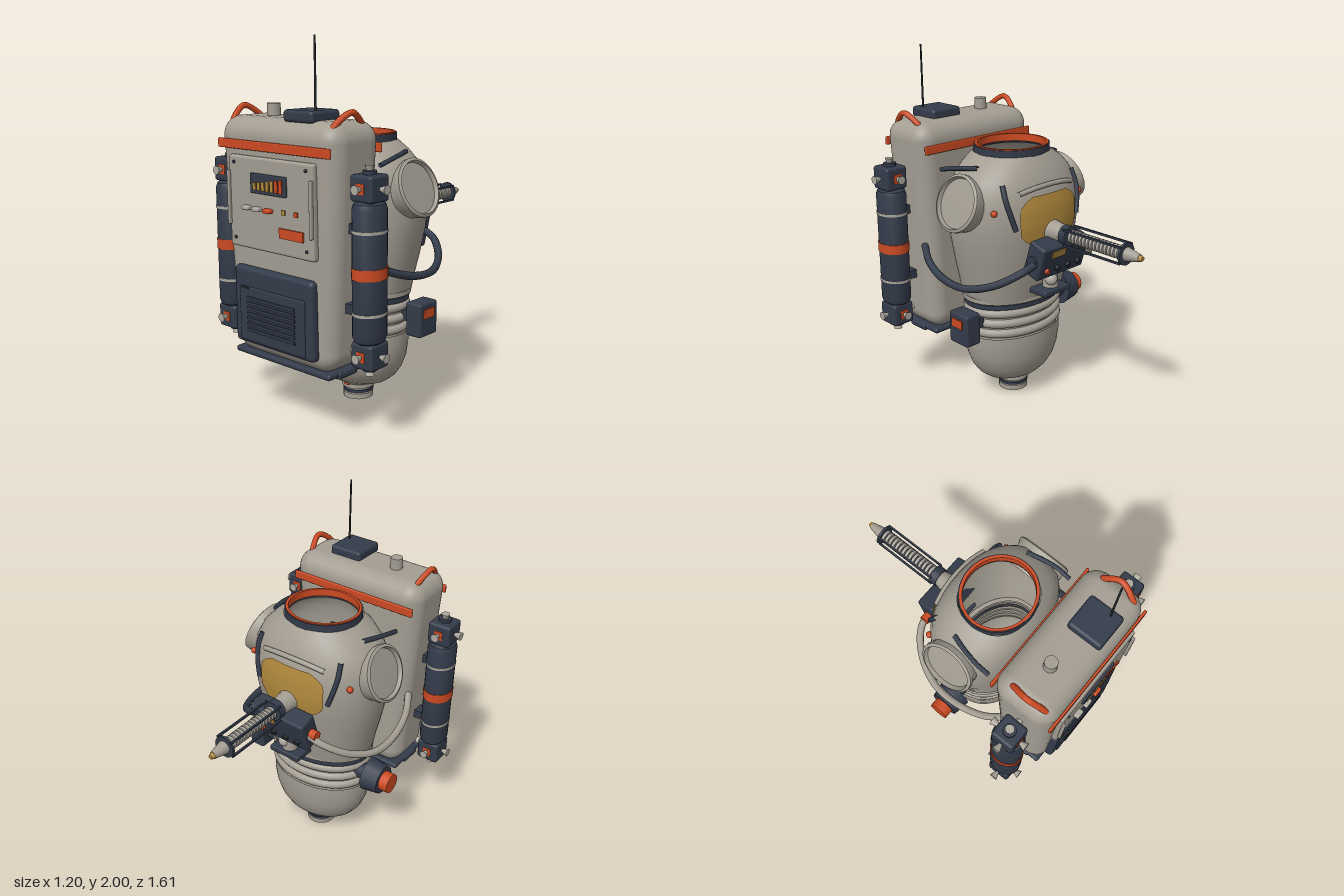
import * as THREE from 'three';
import { toCreasedNormals } from 'three/addons/utils/BufferGeometryUtils.js';
import { RoundedBoxGeometry } from 'three/addons/geometries/RoundedBoxGeometry.js';

const mat = (name, color) => new THREE.MeshStandardMaterial({ name, color, side: THREE.DoubleSide });
const V = (x, y, z) => new THREE.Vector3(x, y, z);

export function createModel() {
  const root = new THREE.Group();
  const grey = mat('warm grey', 0xa39d92), navy = mat('navy', 0x333b4a), orange = mat('orange', 0xcc4a22);
  const gold = mat('gold', 0xb0883c), black = mat('black', 0x22262d), pale = mat('pale metal', 0xaeaaa0);

  const add = (name, geo, m, x = 0, y = 0, z = 0, parent = root) => {
    const mesh = new THREE.Mesh(geo, m);
    mesh.name = name;
    mesh.position.set(x, y, z);
    parent.add(mesh);
    return mesh;
  };
  const box = (name, m, w, h, d, x, y, z, p) => add(name, new THREE.BoxGeometry(w, h, d), m, x, y, z, p);
  const rbox = (name, m, w, h, d, r, x, y, z, p) => add(name, new RoundedBoxGeometry(w, h, d, 3, r), m, x, y, z, p);
  const cyl = (name, m, r0, r1, h, x, y, z, p, n = 20) => add(name, new THREE.CylinderGeometry(r1, r0, h, n), m, x, y, z, p);
  const tube = (name, m, r, pts, n = 32) =>
    add(name, new THREE.TubeGeometry(new THREE.CatmullRomCurve3(pts), n, r, 8), m);
  const lathe = (name, m, pts, p = root, n = 24) =>
    add(name, toCreasedNormals(new THREE.LatheGeometry(pts.map(q => new THREE.Vector2(...q)), n), 0.6), m, 0, 0, 0, p);

  // Grid surface from a rule f(u, row)
  const grid = (f, nu, rows, wrap) => {
    const pos = [], idx = [], w = wrap ? nu : nu + 1;
    for (let j = 0; j < rows; j++) for (let i = 0; i < w; i++) pos.push(...f(i / nu, j).toArray());
    for (let j = 0; j < rows - 1; j++) for (let i = 0; i < nu; i++) {
      const a = j * w + i, b = j * w + (i + 1) % w;
      idx.push(a, a + w, b, b, a + w, b + w);
    }
    const g = new THREE.BufferGeometry();
    g.setAttribute('position', new THREE.Float32BufferAttribute(pos, 3));
    g.setIndex(idx);
    return toCreasedNormals(g, 0.6);
  };
  // Rounded oval point; angle 0 looks to -z and +90 degrees to +x
  const CZ = 0.125;
  const oval = (a, [y, rx, rf, rb = rf], off = 0, e = 0.9) => {
    const s = Math.sin(a), c = Math.cos(a), k = v => Math.sign(v) * Math.abs(v) ** e;
    return V((rx + off) * k(s), y, CZ - ((c > 0 ? rf : rb) + off) * k(c));
  };
  const loft = (name, m, rows, e) =>
    add(name, grid((u, j) => oval(u * Math.PI * 2, rows[j], 0, e), 40, rows.length, true), m);
  const band = (name, m, y0, y1, rx, rz, t = 0.025) =>
    loft(name, m, [[y0, rx - t, rz - t], [y0, rx, rz], [y1, rx, rz], [y1, rx - t, rz - t]], 1);

  // Torso shell
  const torso = [[0.64, 0.315, 0.235], [0.75, 0.335, 0.26, 0.24], [0.85, 0.36, 0.28, 0.245], [1.0, 0.39, 0.305, 0.253],
    [1.1, 0.4, 0.315, 0.257], [1.2, 0.4, 0.31, 0.257], [1.28, 0.385, 0.293, 0.252], [1.35, 0.35, 0.267, 0.243],
    [1.41, 0.29, 0.235, 0.23], [1.46, 0.215, 0.2]];
  loft('torsoShell', grey, torso);
  const skin = (a, y, off) => {
    let i = 0;
    while (i < torso.length - 2 && torso[i + 1][0] < y) i++;
    const p = torso[i], q = torso[i + 1], t = (y - p[0]) / (q[0] - p[0]);
    const full = r => [r[0], r[1], r[2], r[3] ?? r[2]];
    return oval(a, full(p).map((v, k) => v + (full(q)[k] - v) * t), off);
  };

  // Neck collar
  band('neckCollar', navy, 1.45, 1.497, 0.217, 0.203, 0.02);
  loft('neckSeal', orange, [[1.46, 0.196, 0.182], [1.502, 0.196, 0.182], [1.502, 0.211, 0.197], [1.49, 0.211, 0.197]], 1);

  // Waist rings, bellows and lower bowl
  band('waistRing', grey, 0.64, 0.665, 0.325, 0.243);
  band('waistSeal', navy, 0.605, 0.632, 0.315, 0.232);
  loft('waistCore', grey, [[0.4, 0.295, 0.215], [0.66, 0.295, 0.215]], 1);
  for (const y of [0.575, 0.515, 0.455]) {
    const rows = [];
    for (let i = 0; i <= 8; i++) {
      const a = -Math.PI / 2 + i * Math.PI / 8;
      rows.push([y + 0.026 * Math.sin(a), 0.29 + 0.028 * Math.cos(a), 0.21 + 0.028 * Math.cos(a)]);
    }
    loft('bellowsRing', grey, rows, 1);
  }
  loft('lowerBowl', grey, [[0.085, 0.085, 0.085], [0.1, 0.13, 0.105], [0.125, 0.19, 0.145], [0.16, 0.235, 0.178], [0.21, 0.272, 0.205],
    [0.28, 0.3, 0.222], [0.36, 0.311, 0.231], [0.425, 0.311, 0.231]], 1);

  // Bottom connector
  const nozzle = new THREE.Group();
  nozzle.name = 'bottomConnector';
  nozzle.position.z = CZ;
  root.add(nozzle);
  lathe('connectorBody', grey, [[0.065, 0.1], [0.065, 0], [0.085, 0], [0.085, 0.03], [0.078, 0.035], [0.078, 0.06], [0.092, 0.065], [0.092, 0.09]], nozzle);
  cyl('connectorSeal', navy, 0.086, 0.086, 0.015, 0, 0.045, 0, nozzle, 24);
  box('connectorTab', orange, 0.03, 0.015, 0.02, 0, 0.092, 0.09, nozzle);

  // Shoulder sockets, shoulder strips and chest strips
  for (const s of [1, -1]) {
    const g = new THREE.Group();
    g.name = 'shoulderSocket';
    g.position.set(s * 0.398, 1.23, 0.115);
    g.rotation.z = -s * 1.22;
    root.add(g);
    lathe('socketRim', grey, [[0.14, -0.13], [0.15, -0.02], [0.158, 0], [0.158, 0.02], [0.142, 0.028], [0.135, 0.005], [0, 0.008]], g, 36);
    tube('shoulderStrip', navy, 0.013, [V(s * 0.335, 1.365, 0.33), V(s * 0.335, 1.385, 0.25), V(s * 0.32, 1.4, 0.16), V(s * 0.295, 1.41, 0.075)]);
    const strip = [0, 1, 2, 3].map(i => skin(s * (0.78 - i * 0.07), 1.34 - i * 0.08, 0.006));
    tube('chestStrip', navy, 0.014, strip);
    const dot = skin(s * 0.9, 1.2, 0.006);
    add('chestIndicator', new THREE.SphereGeometry(0.018, 12, 8), orange, dot.x, dot.y, dot.z);
  }

  // Gold chest window with brow
  add('chestWindow', grid((u, j) => {
    const y = 1.0 + j * 0.027, half = 0.5 * Math.min(1, Math.sqrt(1 - ((j - 5) / 5.6) ** 2) + 0.12);
    return skin((u - 0.5) * 2 * half, y, 0.008);
  }, 16, 11, false), gold);
  tube('windowBrow', grey, 0.014, [-2, -1, 0, 1, 2].map(i => skin(i * 0.25, 1.315 - 0.006 * i * i, 0.006)));

  // Chest control box
  const ctrl = new THREE.Group();
  ctrl.name = 'controlBox';
  ctrl.position.set(0, 0.935, -0.225);
  ctrl.rotation.x = -0.3;
  root.add(ctrl);
  rbox('controlCase', navy, 0.36, 0.2, 0.115, 0.015, 0, 0, 0, ctrl);
  box('controlScreen', gold, 0.1, 0.04, 0.008, 0.06, 0.055, -0.06, ctrl);
  for (let i = 0; i < 4; i++)
    cyl('controlButton', i === 3 ? orange : black, 0.018, 0.016, 0.02, -0.12 + i * 0.08, -0.045, -0.062, ctrl, 12).rotation.x = -Math.PI / 2;
  cyl('sideKnob', orange, 0.028, 0.028, 0.045, -0.2, 0.0, 0, ctrl, 16).rotation.z = Math.PI / 2;
  cyl('sidePort', navy, 0.03, 0.03, 0.02, 0.185, 0.0, 0, ctrl, 16).rotation.z = Math.PI / 2;

  // Bracket under the control box
  cyl('bracketPost', grey, 0.045, 0.04, 0.1, 0, 0.78, -0.18);
  add('bracketKnob', new THREE.SphereGeometry(0.035, 16, 10), pale, 0.02, 0.785, -0.205);
  rbox('bracketPlate', navy, 0.2, 0.035, 0.13, 0.01, 0, 0.718, -0.175);

  // Forward tool; local +y runs out along -z
  const tool = new THREE.Group();
  tool.name = 'forwardTool';
  tool.position.set(0, 1.06, 0);
  tool.rotation.x = -Math.PI / 2;
  root.add(tool);
  cyl('toolWrist', grey, 0.065, 0.045, 0.12, 0, 0.235, 0, tool);
  cyl('toolCollar', navy, 0.055, 0.055, 0.045, 0, 0.305, 0, tool);
  cyl('toolCore', navy, 0.022, 0.022, 0.38, 0, 0.51, 0, tool);
  for (let i = 0; i < 15; i++) cyl('springRing', pale, 0.037, 0.037, 0.016, 0, 0.345 + i * 0.0245, 0, tool, 16);
  for (const [x, z] of [[1, 1], [1, -1], [-1, 1], [-1, -1]]) box('guideRail', navy, 0.011, 0.39, 0.011, x * 0.046, 0.51, z * 0.043, tool);
  cyl('endPlate', navy, 0.06, 0.06, 0.014, 0, 0.703, 0, tool);
  cyl('toolNose', grey, 0.038, 0.02, 0.085, 0, 0.75, 0, tool);
  cyl('toolTip', gold, 0.02, 0.012, 0.022, 0, 0.8, 0, tool, 12);

  // Hoses from the pack to the control box
  for (const s of [1, -1])
    tube(s > 0 ? 'darkHose' : 'lightHose', s > 0 ? navy : grey, 0.021, [V(s * 0.37, 0.9, 0.46), V(s * 0.42, 0.84, 0.36), V(s * 0.45, 0.79, 0.2),
      V(s * 0.44, 0.78, 0.03), V(s * 0.37, 0.82, -0.12), V(s * 0.26, 0.89, -0.22), V(s * 0.16, 0.93, -0.24)], 48);

  // Hip box and hip valve
  rbox('hipBox', navy, 0.1, 0.185, 0.15, 0.014, 0.41, 0.53, 0.077);
  box('hipBoxPanel', orange, 0.012, 0.05, 0.085, 0.462, 0.565, 0.08);
  box('hipMount', navy, 0.08, 0.06, 0.06, 0.335, 0.53, 0.08);
  cyl('hipValve', navy, 0.1, 0.085, 0.1, -0.405, 0.53, 0.1, root, 12).rotation.z = Math.PI / 2;
  cyl('hipMount', navy, 0.05, 0.05, 0.1, -0.33, 0.53, 0.1).rotation.z = Math.PI / 2;
  cyl('hipValveKnob', orange, 0.058, 0.058, 0.06, -0.48, 0.53, 0.1).rotation.z = Math.PI / 2;

  // Backpack shell, tapering downwards
  const pg = new RoundedBoxGeometry(0.835, 1.245, 0.355, 5, 0.1), pp = pg.attributes.position;
  for (let i = 0; i < pp.count; i++) {
    const t = (0.6225 - pp.getY(i)) / 1.245;
    pp.setX(i, pp.getX(i) * (1 - 0.19 * t * t));
    pp.setZ(i, pp.getZ(i) * (1 - 0.1 * t));
  }
  add('packShell', pg, grey, 0, 0.98, 0.57);
  rbox('packFoot', navy, 0.705, 0.04, 0.14, 0.015, 0, 0.352, 0.588);
  rbox('packFootTrim', navy, 0.69, 0.032, 0.34, 0.015, 0, 0.358, 0.57).scale.z = 0.9;
  box('packMount', navy, 0.24, 0.4, 0.06, 0, 1.05, 0.39);
  for (const z of [0.75, 0.39]) rbox('packStripe', orange, 0.79, 0.048, 0.016, 0.006, 0, 1.465, z);
  for (const s of [1, -1])
    tube('carryHandle', orange, 0.016, [V(s * 0.345, 1.555, 0.7), V(s * 0.358, 1.6, 0.665), V(s * 0.377, 1.645, 0.585), V(s * 0.358, 1.6, 0.505), V(s * 0.345, 1.555, 0.47)]);
  rbox('antennaBase', navy, 0.2, 0.06, 0.2, 0.018, 0.135, 1.62, 0.607);
  cyl('antenna', black, 0.006, 0.005, 0.37, 0.2, 1.815, 0.645, root, 8);
  cyl('topVent', grey, 0.036, 0.034, 0.09, -0.17, 1.62, 0.57);

  // Instrument panel
  rbox('instrumentPanel', grey, 0.6, 0.47, 0.04, 0.014, 0, 1.178, 0.751);
  for (const s of [1, -1]) {
    rbox('panelRail', grey, 0.016, 0.28, 0.02, 0.005, s * 0.292, 1.195, 0.777);
    for (const y of [1.378, 0.99]) cyl('panelScrew', navy, 0.009, 0.009, 0.01, s * 0.255, y, 0.772, root, 8).rotation.x = Math.PI / 2;
  }
  rbox('gaugeScreen', navy, 0.25, 0.1, 0.02, 0.006, 0, 1.285, 0.775);
  for (let i = 0; i < 7; i++) {
    const h = 0.036 + i * 0.005;
    box('gaugeBar', i < 5 ? gold : orange, 0.022, h, 0.008, -0.09 + i * 0.031, 1.253 + h / 2, 0.786);
  }
  [-0.155, -0.08, 0].forEach((x, i) => rbox('panelButton', i === 2 ? orange : pale, 0.052, 0.022, 0.035, 0.008, x, 1.157, 0.785));
  [0.1, 0.187].forEach((x, i) => box('panelLamp', i ? orange : gold, 0.024, 0.024, 0.01, x, 1.16, 0.773));
  box('panelPlate', orange, 0.165, 0.05, 0.01, 0.153, 1.056, 0.774);

  // Vent cover
  rbox('ventCover', navy, 0.57, 0.41, 0.06, 0.025, 0, 0.637, 0.742);
  rbox('ventDoor', navy, 0.47, 0.29, 0.02, 0.008, 0, 0.597, 0.77);
  for (let i = 0; i < 7; i++) {
    box('ventSlot', black, 0.345, 0.01, 0.006, 0, 0.51 + i * 0.028, 0.78);
    box('ventSlat', navy, 0.345, 0.01, 0.014, 0, 0.52 + i * 0.028, 0.78);
  }
  box('ventLatch', black, 0.05, 0.012, 0.015, -0.19, 0.735, 0.776);

  // Side tanks with thruster blocks
  for (const s of [1, -1]) {
    const g = new THREE.Group();
    g.name = 'sideTank';
    g.position.set(s * 0.492, 0, 0.59);
    root.add(g);
    const body = new THREE.Group();
    body.name = 'tankBody';
    body.scale.set(0.87, 1, 1);
    g.add(body);
    lathe('tank', navy, [[0, 0.54], [0.06, 0.545], [0.083, 0.56], [0.092, 0.585], [0.092, 1.205], [0.083, 1.23], [0.06, 1.245], [0, 1.25]], body);
    cyl('tankStripe', orange, 0.096, 0.096, 0.055, 0, 0.898, 0, body, 24);
    for (const y of [0.7, 1.1]) {
      cyl('tankBand', pale, 0.095, 0.095, 0.014, 0, y, 0, body, 24);
      box('tankBracket', navy, 0.12, 0.05, 0.07, -s * 0.085, y, 0, g);
    }
    for (const d of [1, -1]) {
      const t = new THREE.Group();
      t.name = 'thrusterBlock';
      t.position.y = d > 0 ? 1.303 : 0.488;
      g.add(t);
      rbox('thrusterCase', navy, 0.135, 0.13, 0.135, 0.016, 0, 0, 0, t);
      cyl('thrusterCap', navy, 0.035, 0.035, 0.02, 0, d * 0.072, 0, t, 12);
      for (const z of [1, -1]) {
        box('thrusterFrame', orange, 0.05, 0.05, 0.008, 0, 0, z * 0.067, t);
      }
      for (const v of [V(1, 0, 0), V(-1, 0, 0), V(0, 0, 1), V(0, 0, -1), V(0, d, 0)]) {
        const c = cyl('thrusterNozzle', pale, 0.008, 0.024, 0.045, 0, 0, 0, t, 14);
        c.position.copy(v).multiplyScalar(0.085);
        c.quaternion.setFromUnitVectors(V(0, 1, 0), v);
      }
    }
  }
  return root;
}
